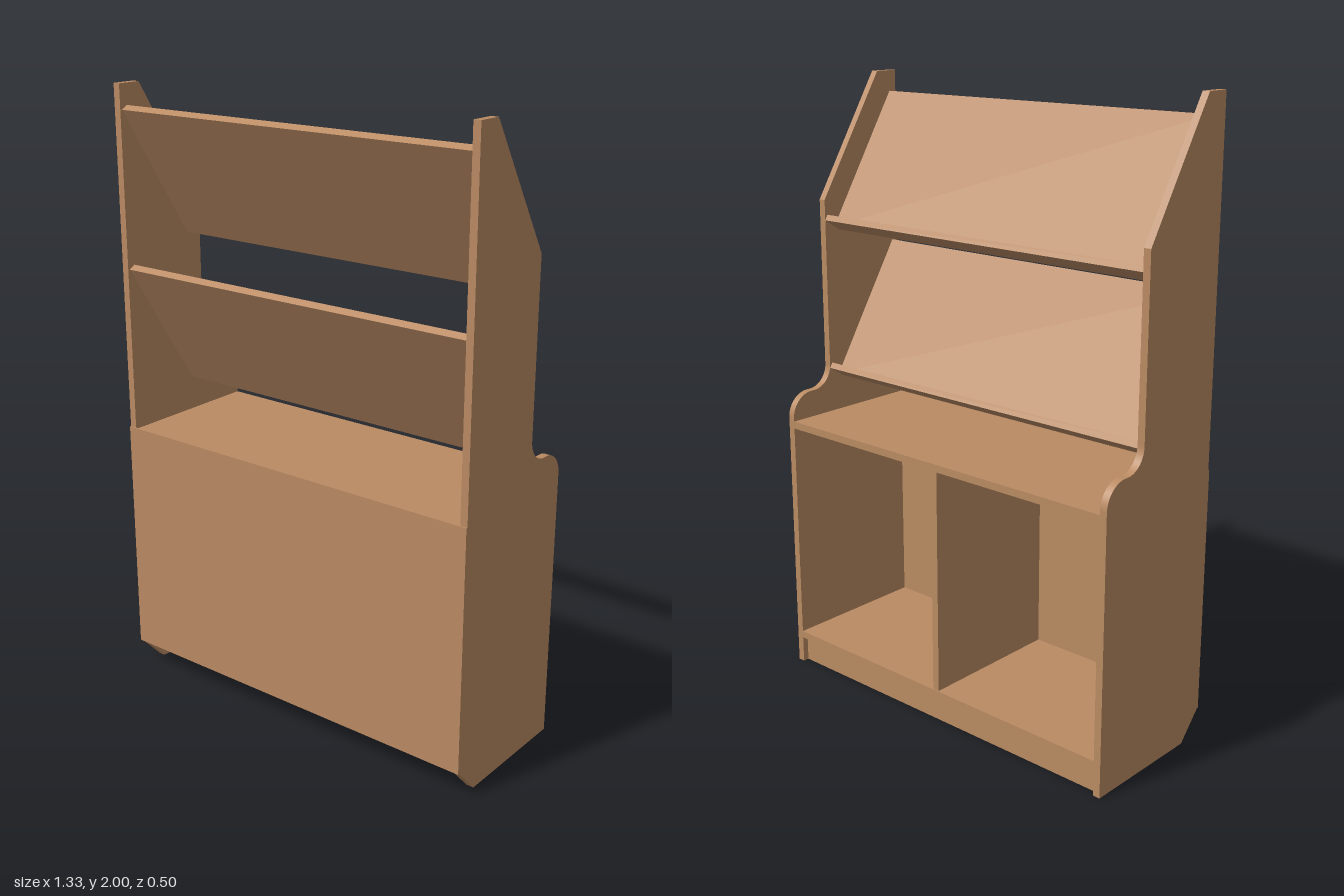
import * as THREE from 'three';

const wood = new THREE.MeshStandardMaterial({ color: 0xba8b63 });
wood.name = 'wood';

const T = 0.024;          // board thickness
const HALF = 0.665;       // half of the overall width
const INNER = 2 * (HALF - T);
const BACK = -0.252, FRONT = 0.247;

// Box given by its x centre, width and y / z ranges
function board(name, x, w, y0, y1, z0, z1) {
  const m = new THREE.Mesh(new THREE.BoxGeometry(w, y1 - y0, z1 - z0), wood);
  m.position.set(x, (y0 + y1) / 2, (z0 + z1) / 2);
  m.name = name;
  return m;
}

// Side board outline, drawn as (z, y) and extruded along x
function sideGeometry() {
  const s = new THREE.Shape();
  s.moveTo(FRONT, 0.09);
  s.lineTo(FRONT, 2);
  s.lineTo(0.165, 2);
  s.lineTo(-0.085, 1.6);
  s.lineTo(-0.085, 1.043);
  s.absarc(-0.158, 1.043, 0.073, 0, -Math.PI / 2, true);
  s.lineTo(-0.172, 0.97);
  s.absarc(-0.172, 0.89, 0.08, Math.PI / 2, Math.PI, false);
  s.lineTo(BACK, 0);
  s.lineTo(0.165, 0);
  const g = new THREE.ExtrudeGeometry(s, { depth: T, bevelEnabled: false, curveSegments: 12 });
  g.rotateY(-Math.PI / 2);
  g.translate(T / 2, 0, 0);
  return g;
}

// Leaning display board with a lip at right angles along its lower edge
function displayShelf(name, y) {
  const g = new THREE.Group();
  g.name = name;
  g.add(board('leaningBoard', 0, INNER, 0, 0.5, -T, 0));
  g.add(board('lip', 0, INNER, 0, 0.02, -0.071, -T));
  g.position.set(0, y, -0.025);
  g.rotation.x = Math.atan2(0.25, 0.4);
  return g;
}

export function createModel() {
  const model = new THREE.Group();
  model.name = 'displayBookcase';

  // Two matching sides
  const side = sideGeometry();
  for (const [name, sx] of [['leftSide', 1], ['rightSide', -1]]) {
    const m = new THREE.Mesh(side, wood);
    m.name = name;
    m.position.x = sx * (HALF - T / 2);
    model.add(m);
  }

  // Lower cabinet
  model.add(
    board('counter', 0, INNER, 0.88 - T, 0.88, BACK, FRONT),
    board('cabinetFloor', 0, INNER, 0.09, 0.09 + T, BACK, FRONT),
    board('divider', 0, T, 0.09 + T, 0.88 - T, BACK + 0.004, FRONT),
    board('kickboard', 0, INNER, 0, 0.09, BACK + 0.02, BACK + 0.02 + T),
    board('closingPanel', 0, 2 * HALF, 0.09, 0.885, FRONT, 0.252)
  );

  // Upper display shelves
  model.add(displayShelf('upperDisplayShelf', 1.496), displayShelf('lowerDisplayShelf', 0.994));
  return model;
}
